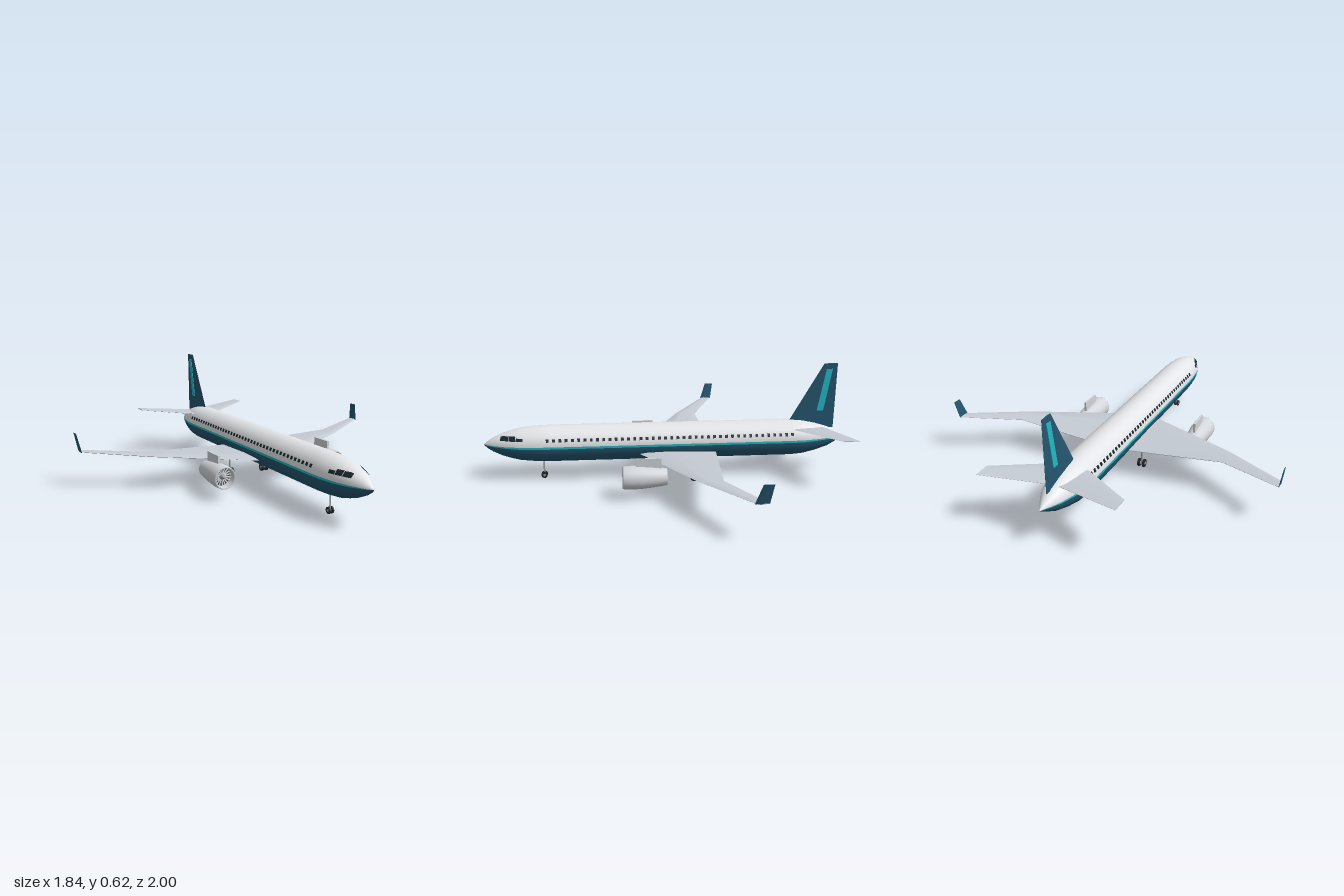
import * as THREE from 'three';
import { mergeGeometries, toCreasedNormals } from 'three/addons/utils/BufferGeometryUtils.js';

const mat = (name, color, side = THREE.FrontSide) => {
  const m = new THREE.MeshStandardMaterial({ color, side });
  m.name = name;
  return m;
};

// fuselage radius along z, tail to nose
const PROFILE = [[0, -1], [0.03, -0.95], [0.056, -0.9], [0.078, -0.83], [0.094, -0.76], [0.1, -0.69],
  [0.1, 0.64], [0.097, 0.72], [0.089, 0.8], [0.077, 0.85], [0.061, 0.9], [0.038, 0.95], [0.019, 0.98], [0, 1]];
const AXIS_Y = 0.2;

function radiusAt(z) {
  const i = PROFILE.findIndex((p) => p[1] >= z);
  const [r0, z0] = PROFILE[i - 1], [r1, z1] = PROFILE[i];
  return r0 + (r1 - r0) * (z - z0) / (z1 - z0);
}

// turned shape along z; angle 0 points down
function turned(points, segments, start = 0, length = Math.PI * 2) {
  const g = new THREE.LatheGeometry(points.map(([r, z]) => new THREE.Vector2(r, z)), segments, start, length);
  return g.rotateX(Math.PI / 2);
}

// loft through aerofoil sections; lean turns the thickness from vertical to sideways
const FOIL = [[0, 0], [0.08, 0.6], [0.35, 1], [1, 0.15], [1, -0.15], [0.35, -1], [0.08, -0.6]];
function loft(sections) {
  const pos = [], index = [], n = FOIL.length, last = (sections.length - 1) * n;
  for (const { x, y, le, te, t, lean = 0 } of sections)
    for (const [c, h] of FOIL)
      pos.push(x - Math.sin(lean) * h * t, y + Math.cos(lean) * h * t, le + (te - le) * c);
  for (let j = 0; j < sections.length - 1; j++)
    for (let i = 0; i < n; i++) {
      const a = j * n + i, b = j * n + (i + 1) % n;
      index.push(a, a + n, b, b, a + n, b + n);
    }
  for (let i = 1; i < n - 1; i++) index.push(0, i, i + 1, last, last + i + 1, last + i);
  const g = new THREE.BufferGeometry();
  g.setAttribute('position', new THREE.Float32BufferAttribute(pos, 3));
  g.setIndex(index);
  return toCreasedNormals(g, 0.6);
}

// mirrored copy across x with corner order restored
function mirrored(geometry) {
  const g = (geometry.index ? geometry.toNonIndexed() : geometry.clone()).scale(-1, 1, 1);
  for (const attr of Object.values(g.attributes)) {
    const s = attr.itemSize, a = attr.array;
    for (let i = 0; i < attr.count; i += 3)
      for (let k = 0; k < s; k++) {
        const p = (i + 1) * s + k, q = (i + 2) * s + k;
        [a[p], a[q]] = [a[q], a[p]];
      }
  }
  return g;
}

const box = (w, h, d, x, y, z) => new THREE.BoxGeometry(w, h, d).translate(x, y, z);
const axle = (r, w, x, y, z) => new THREE.CylinderGeometry(r, r, w, 20).rotateZ(Math.PI / 2).translate(x, y, z);
const post = (r, y0, y1, x, z) => new THREE.CylinderGeometry(r, r, y1 - y0, 10).translate(x, (y0 + y1) / 2, z);

export function createModel() {
  const white = mat('white paint', 0xe4e6e9);
  const wingGrey = mat('wing grey', 0xc6ccd4);
  const navy = mat('navy paint', 0x25566f);
  const teal = mat('teal paint', 0x25b9c4);
  const glass = mat('dark glass', 0x18262d, THREE.DoubleSide);
  const nacelleGrey = mat('nacelle grey', 0xd2d5d9, THREE.DoubleSide);
  const metal = mat('gear metal', 0x9a9fa5);
  const rubber = mat('rubber', 0x22262a);
  const fanDark = mat('fan dark', 0x3a4046, THREE.DoubleSide);

  const model = new THREE.Group();
  model.name = 'airliner';
  const add = (name, geometry, material) => {
    const m = new THREE.Mesh(geometry, material);
    m.name = name;
    model.add(m);
  };
  const pair = (name, geometry, material) => {
    add(name + 'Left', geometry, material);
    add(name + 'Right', mirrored(geometry), material);
  };

  // fuselage: white crown, navy belly, teal line between them
  const H = Math.PI / 2, s = 0.06;
  const body = (n, a, len) => turned(PROFILE, n, a, len).translate(0, AXIS_Y, 0);
  add('fuselageTop', body(24, H + s, Math.PI - 2 * s), white);
  add('fuselageBelly', body(24, -H + s, Math.PI - 2 * s), navy);
  pair('cheatLine', body(2, H - s, 2 * s), teal);

  // cabin windows
  const panes = [];
  for (let i = 0; i < 41; i++)
    panes.push(new THREE.BoxGeometry(0.005, 0.017, 0.015).rotateZ(0.41).translate(0.0915, AXIS_Y + 0.04, 0.65 - i * 0.0333));
  pair('cabinWindows', mergeGeometries(panes), glass);

  // cockpit windows: strips that follow the nose skin
  const cockpit = [[0.78, 0.817, 0.036, 0.052], [0.82, 0.857, 0.036, 0.06], [0.86, 0.903, 0.036, 0.058]].map(([z0, z1, lo, hi]) => {
    const g = new THREE.PlaneGeometry(1, 1, 4, 4), p = g.attributes.position;
    for (let i = 0; i < p.count; i++) {
      const z = z0 + (0.5 - p.getX(i)) * (z1 - z0);
      const r = radiusAt(z) + 0.003;
      const y = Math.min(lo + (p.getY(i) + 0.5) * (hi - lo), r * 0.85);
      p.setXYZ(i, Math.sqrt(r * r - y * y), AXIS_Y + y, z);
    }
    g.computeVertexNormals();
    return g;
  });
  pair('cockpitWindows', mergeGeometries(cockpit), glass);

  // wings with swept outer panels and upturned tips
  pair('wing', loft([
    { x: 0, y: 0.148, le: 0.2, te: -0.265, t: 0.011 },
    { x: 0.1, y: 0.152, le: 0.15, te: -0.258, t: 0.011 },
    { x: 0.585, y: 0.178, le: -0.1, te: -0.222, t: 0.007 },
    { x: 0.905, y: 0.196, le: -0.31, te: -0.37, t: 0.004 },
  ]), wingGrey);
  pair('winglet', loft([
    { x: 0.902, y: 0.194, le: -0.303, te: -0.37, t: 0.004, lean: 1.3 },
    { x: 0.919, y: 0.29, le: -0.335, te: -0.385, t: 0.003, lean: 1.4 },
  ]), navy);

  // tail surfaces
  pair('tailplane', loft([
    { x: 0.02, y: 0.258, le: -0.65, te: -0.868, t: 0.006 },
    { x: 0.351, y: 0.28, le: -0.875, te: -0.965, t: 0.003 },
  ]), wingGrey);
  add('fin', loft([
    { x: 0, y: 0.25, le: -0.657, te: -0.935, t: 0.006, lean: H },
    { x: 0, y: 0.615, le: -0.865, te: -0.94, t: 0.004, lean: H },
  ]), navy);
  const flash = new THREE.Shape([[0.836, 0.35], [0.872, 0.35], [0.912, 0.585], [0.878, 0.585]].map(([a, b]) => new THREE.Vector2(a, b)));
  add('finStripe', new THREE.ExtrudeGeometry(flash, { depth: 0.0136, bevelEnabled: false })
    .rotateY(H).translate(-0.0068, 0, 0), teal);

  // engines: hollow nacelle, fan, spinner and pylon
  const ex = 0.336, ey = 0.113;
  const engine = (g) => g.translate(ex, ey, 0);
  pair('nacelle', engine(turned([[0.043, 0.03], [0.052, 0.09], [0.059, 0.16], [0.061, 0.21], [0.059, 0.25],
    [0.055, 0.258], [0.05, 0.25], [0.049, 0.2], [0.048, 0.12], [0.04, 0.03]], 28)), nacelleGrey);
  pair('fanDisc', engine(new THREE.CircleGeometry(0.0495, 28).translate(0, 0, 0.205)), fanDark);
  const blades = [];
  for (let i = 0; i < 18; i++)
    blades.push(box(0.006, 0.036, 0.004, 0, 0.031, 0).rotateY(0.2).rotateZ(i * Math.PI / 9).translate(0, 0, 0.214));
  pair('fanBlades', engine(mergeGeometries(blades)), nacelleGrey);
  pair('spinner', engine(turned([[0.016, 0.205], [0.014, 0.222], [0.008, 0.235], [0, 0.241]], 16)), metal);
  pair('pylon', box(0.012, 0.065, 0.125, ex, 0.181, 0.122), nacelleGrey);

  // main gear
  const mx = 0.111, mz = -0.137;
  pair('mainStrut', mergeGeometries([post(0.005, 0.022, 0.155, mx, mz), axle(0.004, 0.03, mx, 0.022, mz)]), metal);
  for (const [name, dx] of [['mainInnerWheel', -0.014], ['mainOuterWheel', 0.014]]) {
    pair(name, axle(0.022, 0.011, mx + dx, 0.022, mz), rubber);
    pair(name + 'Hub', axle(0.009, 0.013, mx + dx, 0.022, mz), metal);
  }

  // nose gear
  const nz = 0.682;
  add('noseStrut', mergeGeometries([post(0.004, 0.017, 0.11, 0, nz), axle(0.003, 0.018, 0, 0.017, nz)]), metal);
  pair('noseWheel', axle(0.017, 0.008, 0.009, 0.017, nz), rubber);
  pair('noseWheelHub', axle(0.007, 0.01, 0.009, 0.017, nz), metal);

  return model;
}
